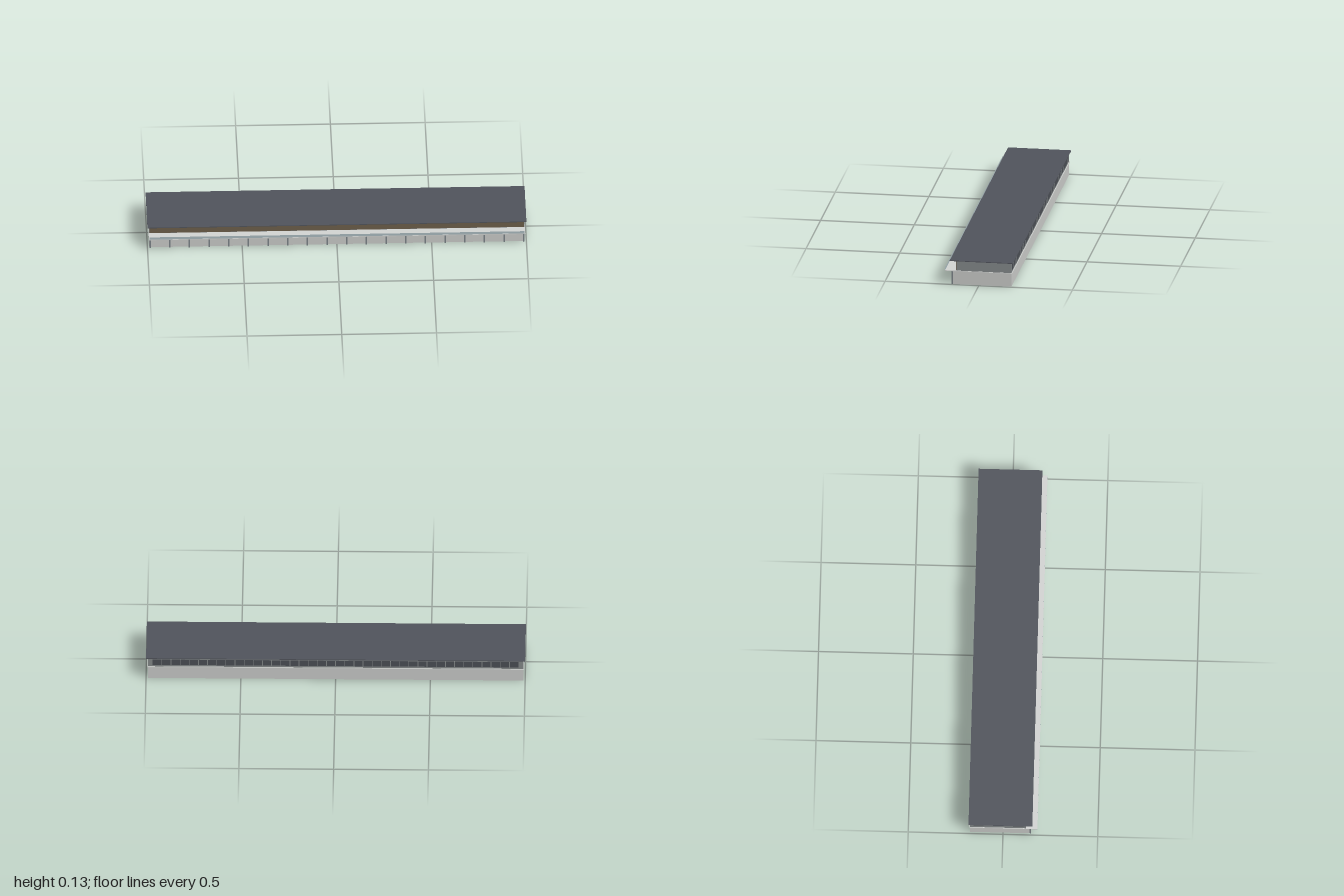
import * as THREE from 'three';

const mat = (name, color, side = THREE.FrontSide) => {
  const m = new THREE.MeshStandardMaterial({ color, side });
  m.name = name;
  return m;
};

export function createModel() {
  const group = new THREE.Group();
  const concrete = mat('pale concrete', 0xc8c9c7, THREE.DoubleSide);
  const slab = mat('light slab', 0xd0d2d0);
  const wall = mat('grey wall', 0x828788);
  const pier = mat('slate pier', 0x7b8287);
  const wood = mat('brown timber', 0x6c5e4a);
  const roofing = mat('dark roofing', 0x50535b);
  const glass = mat('dark glazing', 0x4a4e54);
  const rail = mat('balcony glass', 0xa9b9be, THREE.DoubleSide);

  // Box given by its limits on each axis
  const box = (name, material, [x0, x1], [y0, y1], [z0, z1]) => {
    const mesh = new THREE.Mesh(new THREE.BoxGeometry(x1 - x0, y1 - y0, z1 - z0), material);
    mesh.position.set((x0 + x1) / 2, (y0 + y1) / 2, (z0 + z1) / 2);
    mesh.name = name;
    group.add(mesh);
  };
  // Upright sheet turned about y
  const sheet = (name, material, w, h, x, y, z, turn) => {
    const mesh = new THREE.Mesh(new THREE.PlaneGeometry(w, h), material);
    mesh.position.set(x, y, z);
    mesh.rotation.y = turn;
    mesh.name = name;
    group.add(mesh);
  };

  // Ground storey: four thin walls, open underneath
  const half = 0.99, back = -0.173, front = 0.14, floor = 0.071;
  sheet('groundFrontWall', concrete, 2 * half, floor, 0, floor / 2, front, 0);
  sheet('groundBackWall', concrete, 2 * half, floor, 0, floor / 2, back, Math.PI);
  for (const s of [-1, 1])
    sheet('groundEndWall', concrete, front - back, floor, s * half, floor / 2, (front + back) / 2, s * Math.PI / 2);

  // Row of piers along the front
  const count = 20, pierWidth = 0.008;
  for (let i = 0; i < count; i++) {
    const x = -half + pierWidth / 2 + i * (2 * half - pierWidth) / (count - 1);
    box('frontPier', pier, [x - pierWidth / 2, x + pierWidth / 2], [0, floor], [front, 0.148]);
  }

  // Balcony slab and its low glass rail
  box('balconySlab', slab, [-0.993, 0.993], [floor, 0.075], [-0.177, 0.182]);
  sheet('balconyRail', rail, 1.98, 0.014, 0, 0.082, 0.181, 0);

  // Upper storey with timber front
  box('upperStorey', wall, [-half, half], [0.075, 0.129], [back, 0.12]);
  box('timberFront', wood, [-0.988, 0.988], [0.077, 0.127], [0.12, 0.122]);

  // Long window band at the back with mullions
  box('backWindowBand', glass, [-0.965, 0.965], [0.085, 0.119], [back - 0.001, back]);
  for (let i = 1; i < 40; i++) {
    const x = -0.965 + i * 1.93 / 40;
    box('windowMullion', wall, [x - 0.002, x + 0.002], [0.085, 0.119], [back - 0.002, back - 0.001]);
  }

  // Flat overhanging roof
  box('roof', roofing, [-1, 1], [0.129, 0.133], [-0.182, 0.155]);
  return group;
}
